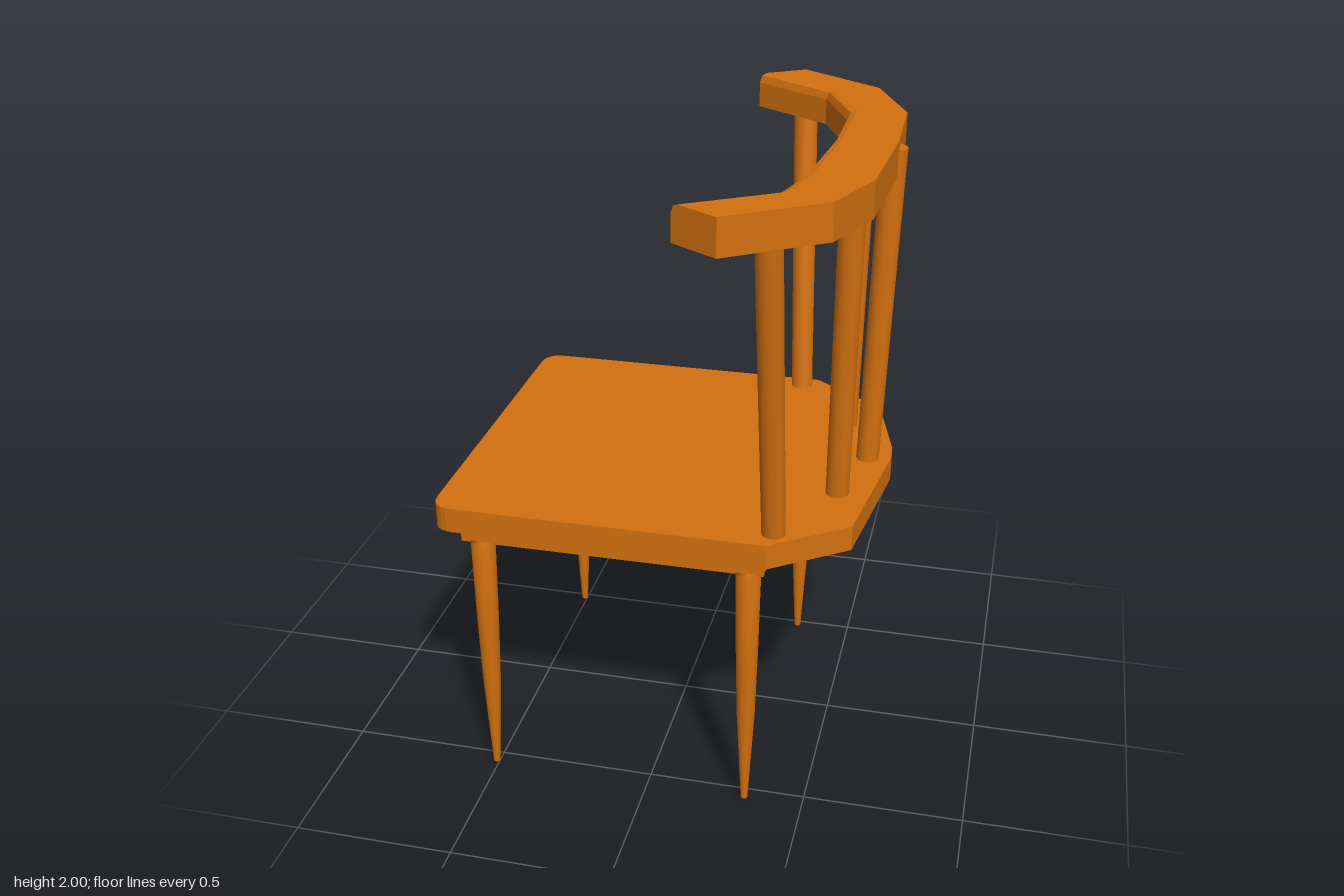
import * as THREE from 'three';

const wood = new THREE.MeshStandardMaterial({ color: 0xd2700f });
wood.name = 'orange wood';

function add(group, name, geometry) {
  const mesh = new THREE.Mesh(geometry, wood);
  mesh.name = name;
  group.add(mesh);
  return mesh;
}

// Seat slab: rounded front corners, faceted bow at the back
function seatGeometry() {
  const s = new THREE.Shape();
  const r = 0.07, x0 = -0.66, z0 = -0.6, z1 = 0.58;
  s.moveTo(x0 + r, z0);
  [[0.34, z0], [0.58, -0.42], [0.655, -0.13], [0.66, -0.06], [0.6, 0.41], [0.37, z1], [x0 + r, z1]]
    .forEach(([x, z]) => s.lineTo(x, z));
  s.quadraticCurveTo(x0, z1, x0, z1 - r);
  s.lineTo(x0, z0 + r);
  s.quadraticCurveTo(x0, z0, x0 + r, z0);
  const g = new THREE.ExtrudeGeometry(s, { depth: 0.08, bevelEnabled: false, curveSegments: 6 });
  g.rotateX(Math.PI / 2);
  g.translate(0, 0.95, 0);
  return g;
}

// Curved top rail: cross-sections with a rounded inner top edge
function railGeometry() {
  // outer x, outer z, inner x, inner z
  const stations = [
    [0.23, -0.79, 0.09, -0.70],
    [0.50, -0.60, 0.34, -0.53],
    [0.62, -0.32, 0.44, -0.30],
    [0.63, 0.00, 0.44, 0.00],
    [0.61, 0.38, 0.41, 0.36],
    [0.53, 0.59, 0.37, 0.53],
    [0.26, 0.78, 0.12, 0.69],
  ];
  // share of the way from outer to inner, height
  const profile = [[0, 1.89], [0, 2], [0.85, 2], [0.95, 1.993], [1, 1.97], [1, 1.89]];
  const rings = stations.map(([ox, oz, ix, iz]) => profile.map(([t, y]) =>
    [ox + (ix - ox) * t, y, oz + (iz - oz) * t]));
  const pos = [];
  const tri = (a, b, c) => pos.push(...a, ...b, ...c);
  const n = profile.length;
  for (let i = 0; i < rings.length - 1; i++) {
    for (let j = 0; j < n; j++) {
      const k = (j + 1) % n;
      tri(rings[i][j], rings[i][k], rings[i + 1][k]);
      tri(rings[i][j], rings[i + 1][k], rings[i + 1][j]);
    }
  }
  const first = rings[0], last = rings[rings.length - 1];
  for (let j = 1; j < n - 1; j++) {
    tri(first[0], first[j + 1], first[j]);
    tri(last[0], last[j], last[j + 1]);
  }
  const g = new THREE.BufferGeometry();
  g.setAttribute('position', new THREE.Float32BufferAttribute(pos, 3));
  g.computeVertexNormals();
  return g;
}

// Leaning round bar between two points
function addSpindle(group, bottom, top) {
  const a = new THREE.Vector3(...bottom), b = new THREE.Vector3(...top);
  const dir = b.clone().sub(a);
  const mesh = add(group, 'backSpindle', new THREE.CylinderGeometry(0.039, 0.036, dir.length(), 20));
  mesh.position.copy(a).add(b).multiplyScalar(0.5);
  mesh.quaternion.setFromUnitVectors(new THREE.Vector3(0, 1, 0), dir.normalize());
}

export function createModel() {
  const chair = new THREE.Group();
  chair.name = 'chair';

  add(chair, 'seat', seatGeometry());

  // Plate under the seat
  add(chair, 'underSeatPlate', new THREE.BoxGeometry(0.94, 0.05, 1.09))
    .position.set(-0.11, 0.845, -0.005);

  // Tapered legs
  const legProfile = [[0, 0], [0.011, 0], [0.028, 0.32], [0.034, 0.55], [0.038, 0.825], [0, 0.825]]
    .map(([r, y]) => new THREE.Vector2(r, y));
  const legGeometry = new THREE.LatheGeometry(legProfile, 20);
  for (const x of [-0.51, 0.315]) {
    for (const z of [0.54, -0.48]) {
      add(chair, x < 0 ? 'frontLeg' : 'backLeg', legGeometry).position.set(x, 0, z);
    }
  }

  // Back spindles, the middle one rising behind the rail
  [
    [[0.29, 0.94, -0.55], [0.25, 1.9, -0.69]],
    [[0.485, 0.94, -0.27], [0.49, 1.9, -0.35]],
    [[0.585, 0.94, -0.045], [0.615, 1.97, -0.045]],
    [[0.525, 0.94, 0.21], [0.54, 1.9, 0.275]],
    [[0.38, 0.94, 0.5], [0.37, 1.9, 0.64]],
  ].forEach(([a, b]) => addSpindle(chair, a, b));

  add(chair, 'topRail', railGeometry());
  return chair;
}
